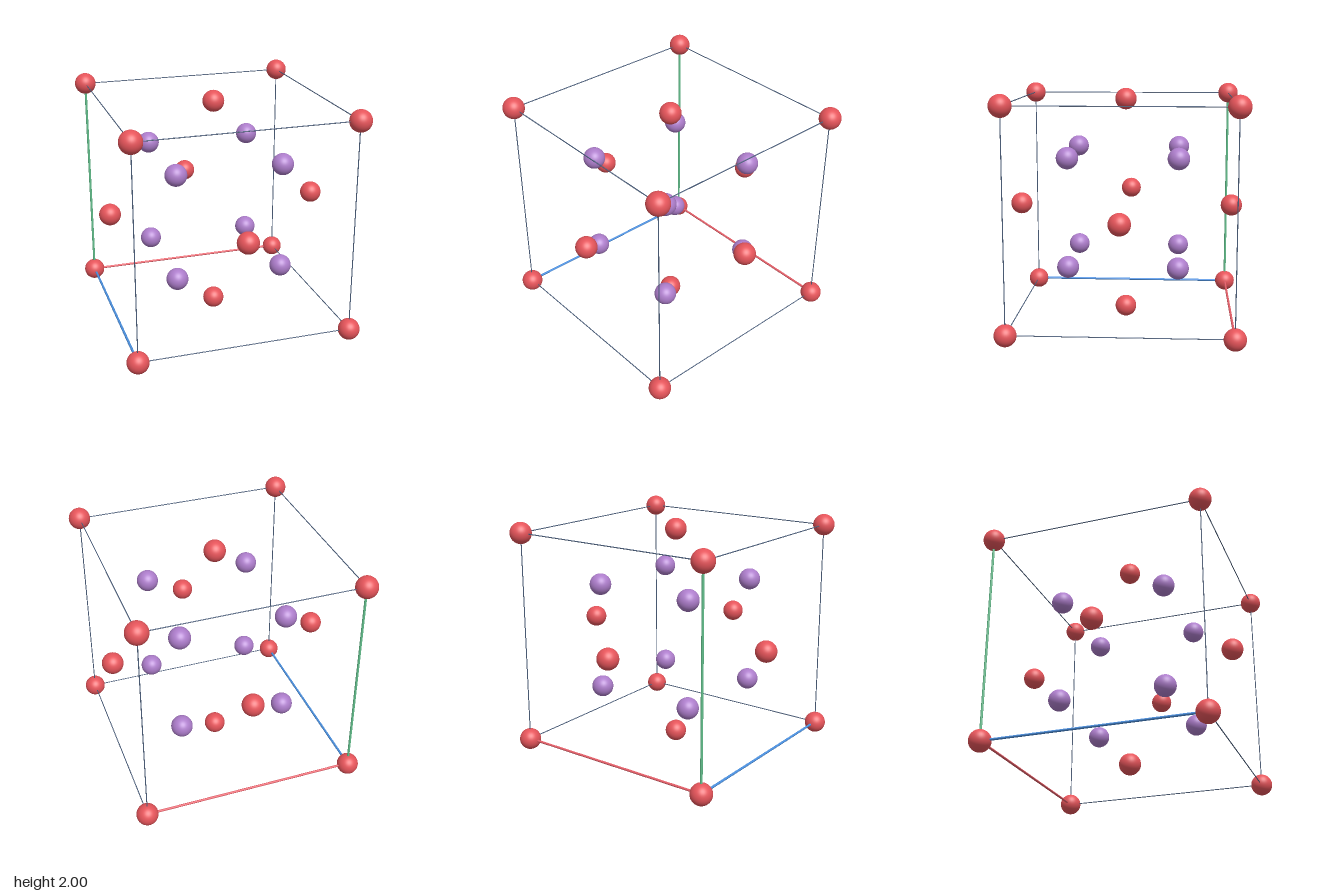
import * as THREE from 'three';

const H = 0.909;   // half the cell edge
const R = 0.091;   // ball radius

const paint = (name, color) => {
  const m = new THREE.MeshStandardMaterial({ color });
  m.name = name;
  return m;
};

export function createModel() {
  const model = new THREE.Group();
  model.name = 'crystalCell';
  const cell = new THREE.Group();
  cell.name = 'cell';
  cell.position.y = H + R;
  model.add(cell);

  const red = paint('ball red', 0xe5545a);
  const purple = paint('ball purple', 0xad7dcb);
  const slate = paint('edge slate', 0x4c607e);
  const axisColours = [
    paint('axis red', 0xe8606a),
    paint('axis green', 0x62c08c),
    paint('axis blue', 0x4a90e0),
  ];

  const ballGeometry = new THREE.SphereGeometry(R, 40, 28);
  const ball = (name, material, x, y, z) => {
    const mesh = new THREE.Mesh(ballGeometry, material);
    mesh.name = name;
    mesh.position.set(x, y, z);
    cell.add(mesh);
  };

  // corner balls, and inner balls at the centre of each eighth
  const signs = [-1, 1];
  for (const x of signs) for (const y of signs) for (const z of signs) {
    ball('cornerBall', red, x * H, y * H, z * H);
    ball('innerBall', purple, x * H / 2, y * H / 2, z * H / 2);
  }

  // balls at the centre of each face
  for (const s of signs) {
    ball('faceBall', red, s * H, 0, 0);
    ball('faceBall', red, 0, s * H, 0);
    ball('faceBall', red, 0, 0, s * H);
  }

  // twelve edges; the three meeting at the origin corner are thicker coloured axes
  const edgeGeometry = new THREE.CylinderGeometry(0.0042, 0.0042, 2 * H, 10);
  const axisGeometry = new THREE.CylinderGeometry(0.01, 0.01, 2 * H, 14);
  for (let axis = 0; axis < 3; axis++) for (const a of signs) for (const b of signs) {
    const isAxis = a < 0 && b < 0;
    const rod = new THREE.Mesh(isAxis ? axisGeometry : edgeGeometry, isAxis ? axisColours[axis] : slate);
    rod.name = isAxis ? 'axisRod' : 'edgeRod';
    const p = [0, 0, 0];
    p[(axis + 1) % 3] = a * H;
    p[(axis + 2) % 3] = b * H;
    rod.position.fromArray(p);
    if (axis === 0) rod.rotation.z = Math.PI / 2;
    if (axis === 2) rod.rotation.x = Math.PI / 2;
    cell.add(rod);
  }

  return model;
}
